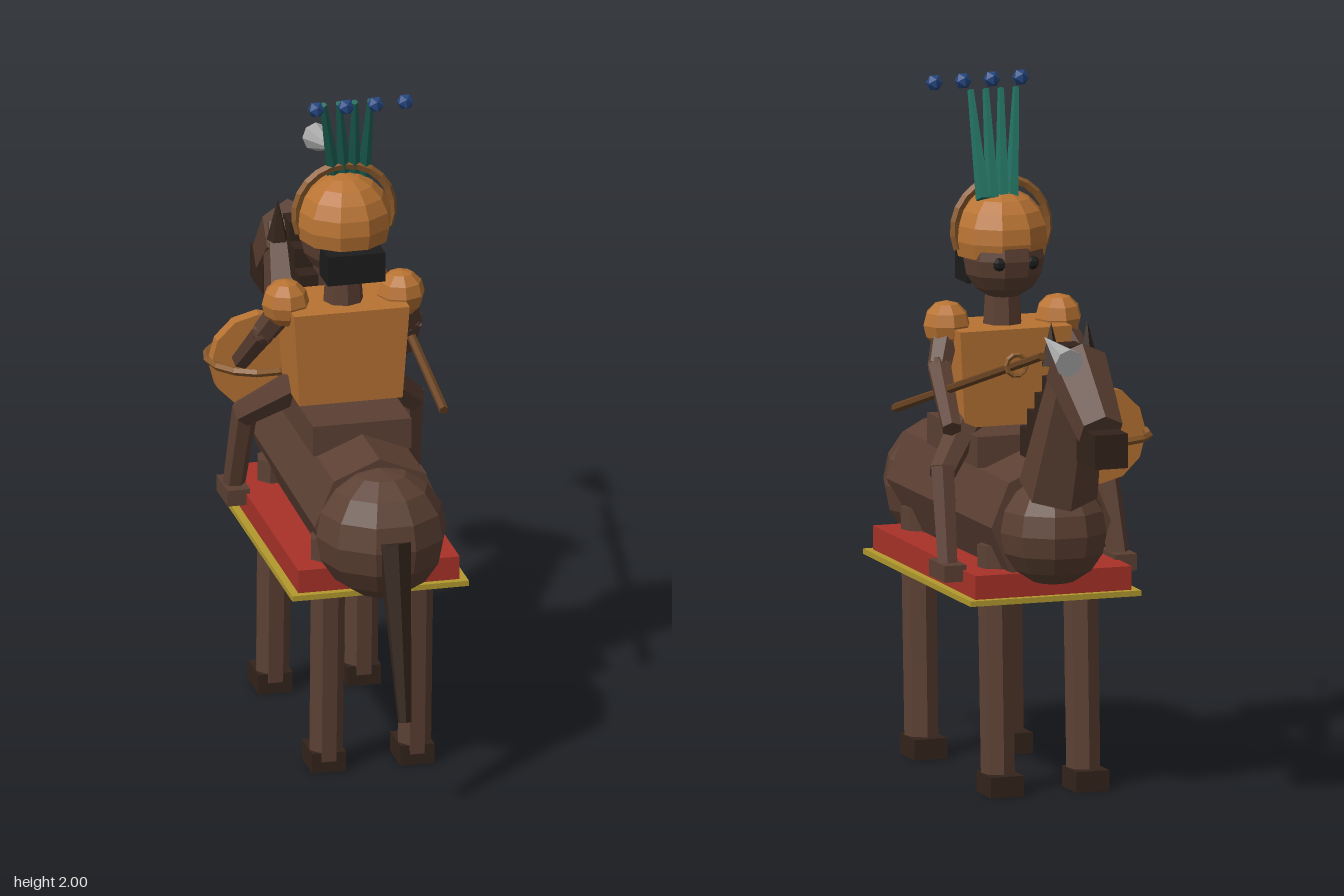
import * as THREE from 'three';

const COLORS = {
  brown: 0x5c4033, dark: 0x33241b, black: 0x1c1c1c, copper: 0xb87333, wood: 0x6b4423,
  bronze: 0x8b5a2b, teal: 0x1f6b5c, blue: 0x24467f, red: 0xa83228, gold: 0xb39a2e, steel: 0xaaaaaa,
};
const materials = {};
for (const key in COLORS) {
  materials[key] = new THREE.MeshStandardMaterial({ color: COLORS[key], flatShading: true });
}
const CX = 0.016; // symmetry plane of horse and rider
const V = (x, y, z) => new THREE.Vector3(x, y, z);

export function createModel() {
  const model = new THREE.Group();
  model.name = 'riderOnHorse';

  const add = (name, geometry, color, x, y, z) => {
    const mesh = new THREE.Mesh(geometry, materials[color]);
    mesh.name = name;
    mesh.position.set(x, y, z);
    model.add(mesh);
    return mesh;
  };
  const box = (name, color, w, h, d, x, y, z) =>
    add(name, new THREE.BoxGeometry(w, h, d), color, x, y, z);
  const ball = (name, color, r, x, y, z, ws = 10, hs = 8) =>
    add(name, new THREE.SphereGeometry(r, ws, hs), color, x, y, z);
  // Tapered rod running from point a to point b
  const rod = (name, color, a, b, ra, rb, sides = 6) => {
    const dir = b.clone().sub(a);
    const mid = a.clone().add(b).multiplyScalar(0.5);
    const mesh = add(name, new THREE.CylinderGeometry(rb, ra, dir.length(), sides), color, mid.x, mid.y, mid.z);
    mesh.quaternion.setFromUnitVectors(V(0, 1, 0), dir.normalize());
    return mesh;
  };

  // Saddle cloth platform
  box('platformTrim', 'gold', 0.52, 0.016, 0.9, CX, 0.578, 0.16);
  box('platform', 'red', 0.475, 0.07, 0.86, CX, 0.62, 0.16);

  // Horse body
  rod('horseBody', 'brown', V(CX, 0.787, 0.6), V(CX, 0.787, -0.25), 0.192, 0.182, 8);
  ball('horseRump', 'brown', 0.192, CX, 0.765, 0.615);
  ball('horseChest', 'brown', 0.16, CX, 0.775, -0.266);
  rod('horseNeck', 'brown', V(CX, 0.9, -0.31), V(CX, 1.3, -0.49), 0.115, 0.078, 6);
  rod('horseHead', 'brown', V(CX, 1.285, -0.455), V(CX, 1.125, -0.665), 0.092, 0.068, 6);
  box('horseMuzzle', 'dark', 0.1, 0.1, 0.155, CX, 1.085, -0.678);
  rod('tail', 'dark', V(CX, 0.79, 0.775), V(CX, 0.285, 0.898), 0.05, 0.02, 6);
  for (let i = 0; i < 6; i++) {
    box('mane', 'dark', 0.055, 0.1, 0.075, CX, 0.995 + 0.059 * i, -0.1 - 0.062 * i);
  }

  // Saddle
  box('saddle', 'brown', 0.29, 0.09, 0.42, CX, 0.967, 0.18);

  // Rider torso, neck and head
  const torso = new THREE.CylinderGeometry(0.17 * Math.SQRT2, 0.152 * Math.SQRT2, 0.28, 4);
  torso.rotateY(Math.PI / 4).scale(1, 1, 0.66);
  add('riderTorso', torso, 'copper', CX, 1.165, 0.155);
  rod('riderNeck', 'brown', V(CX, 1.28, 0.16), V(CX, 1.43, 0.16), 0.06, 0.05, 8);
  ball('riderFace', 'brown', 0.122, CX, 1.5, 0.15);
  box('riderHair', 'black', 0.17, 0.088, 0.1, CX, 1.456, 0.272);
  const helmet = add('helmet', new THREE.SphereGeometry(0.14, 10, 6, 0, Math.PI * 2, 0, Math.PI * 0.62),
    'copper', CX, 1.555, 0.172);
  helmet.material = materials.copper.clone();
  helmet.material.side = THREE.DoubleSide;

  // Helmet band arching from ear to ear
  const band = new THREE.TorusGeometry(0.142, 0.014, 5, 14, Math.PI * 1.25);
  band.rotateZ(-Math.PI / 8);
  add('helmetBand', band, 'bronze', CX, 1.58, 0.17);

  // Plume feathers and their floating beads
  for (let i = 0; i < 4; i++) {
    rod('feather', 'teal', V(-0.005 + 0.029 * i, 1.67, 0.135), V(-0.075 + 0.046 * i, 1.96, 0.293), 0.022, 0.01, 5);
    add('plumeBead', new THREE.IcosahedronGeometry(0.025, 0), 'blue', -0.113 + 0.0875 * i, 1.975, 0.362);
  }

  // Parts repeated on both sides
  for (const s of [1, -1]) {
    const x = (d) => CX + s * d;
    // Horse legs and hooves
    for (const z of [0.502, -0.138]) {
      rod('horseLeg', 'brown', V(x(0.13), 0.72, z), V(x(0.13), 0.01, z - 0.028), 0.052, 0.05, 7);
      box('hoof', 'dark', 0.1, 0.06, 0.122, x(0.13), 0.03, z - 0.043);
    }
    const ear = add('horseEar', new THREE.ConeGeometry(0.032, 0.125, 5), 'dark', x(0.055), 1.342, -0.4);
    ear.rotation.y = Math.PI / 5;
    ball('riderEye', 'black', 0.02, x(0.05), 1.495, 0.045, 6, 5);

    // Rider arms
    ball('riderShoulder', 'copper', 0.07, x(0.17), 1.31, 0.16, 8, 6);
    const elbow = V(x(0.215), 1.2, 0.095);
    rod('upperArm', 'brown', V(x(0.17), 1.3, 0.16), elbow, 0.042, 0.036);
    ball('elbow', 'brown', 0.037, elbow.x, elbow.y, elbow.z, 6, 5);
    rod('forearm', 'brown', elbow, V(x(0.24), 1.05, -0.08), 0.037, 0.03);

    // Rider legs
    const knee = V(x(0.25), 0.91, -0.02);
    rod('thigh', 'brown', V(x(0.11), 1.05, 0.13), knee, 0.052, 0.04);
    rod('shin', 'brown', V(x(0.245), 0.93, -0.015), V(x(0.26), 0.65, -0.1), 0.038, 0.032);
    box('riderFoot', 'brown', 0.066, 0.048, 0.132, x(0.26), 0.645, -0.098);
  }

  // Lance with ring and spearhead
  rod('lanceShaft', 'wood', V(0.255, 1.03, 0.397), V(0.207, 1.365, -0.697), 0.014, 0.012, 6);
  add('lanceRing', new THREE.TorusGeometry(0.03, 0.008, 5, 10), 'bronze', 0.215, 1.307, -0.505);
  rod('lanceHead', 'steel', V(0.2, 1.38, -0.908), V(0.2, 1.42, -0.7), 0.042, 0.001, 8);

  // Round shield with a level hoop around it
  const shield = add('shield', new THREE.CylinderGeometry(0.143, 0.143, 0.042, 12), 'copper', -0.16, 1.022, -0.147);
  shield.rotation.x = Math.PI / 2;
  const hoop = add('shieldHoop', new THREE.TorusGeometry(0.143, 0.012, 5, 14), 'bronze', -0.16, 1.025, -0.167);
  hoop.rotation.x = Math.PI / 2;

  return model;
}
